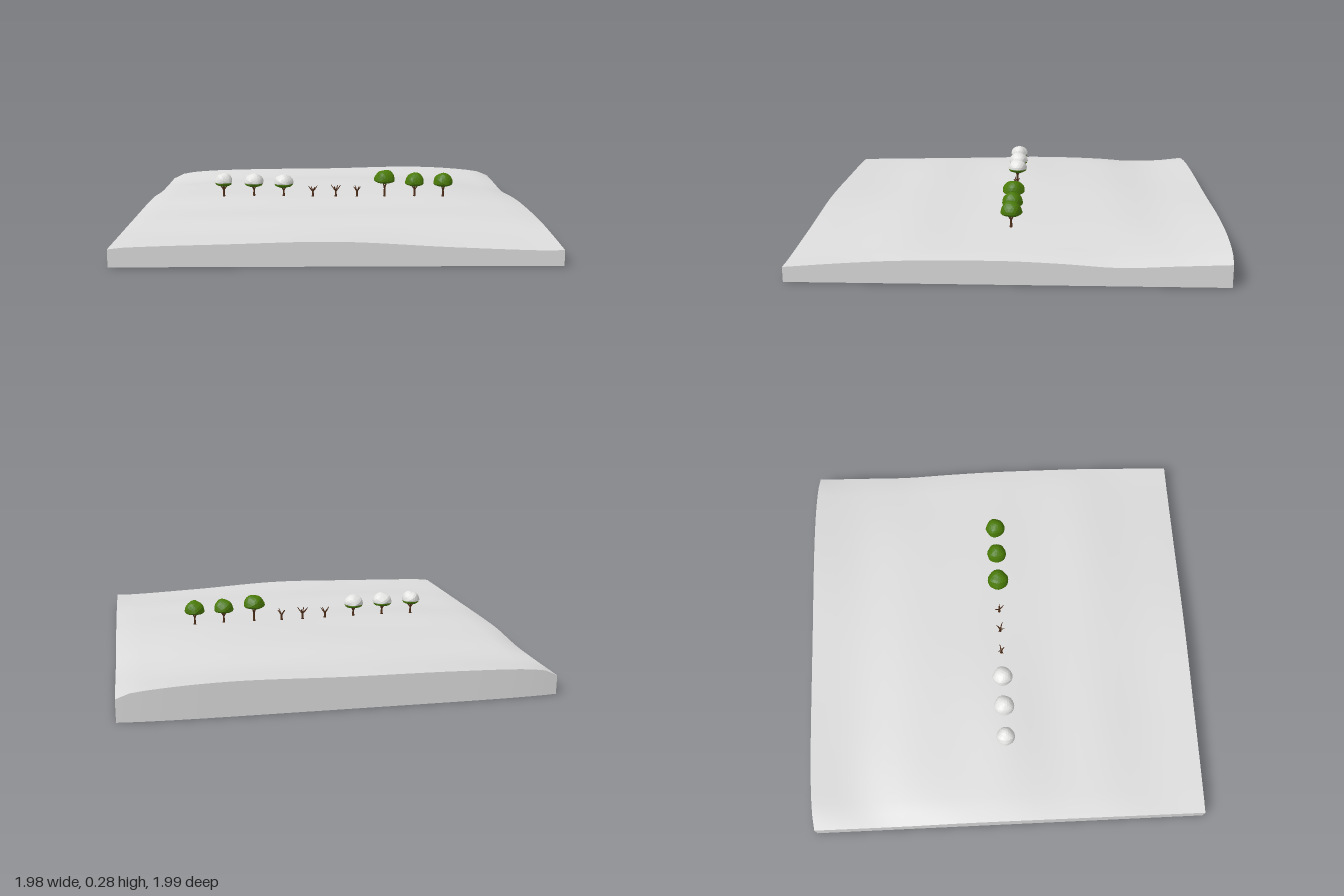
import * as THREE from 'three';

// Ground heights: rows run back to front, columns left to right (closer together at the edges)
const HEIGHTS = [
  [0.09, 0.13, 0.145, 0.15, 0.16, 0.14, 0.105],
  [0.085, 0.10, 0.125, 0.14, 0.135, 0.115, 0.095],
  [0.085, 0.12, 0.14, 0.155, 0.145, 0.11, 0.085],
  [0.10, 0.125, 0.14, 0.15, 0.145, 0.12, 0.10],
  [0.10, 0.125, 0.145, 0.14, 0.14, 0.125, 0.11],
  [0.095, 0.11, 0.12, 0.125, 0.125, 0.12, 0.11],
  [0.09, 0.105, 0.12, 0.125, 0.125, 0.115, 0.105],
  [0.085, 0.09, 0.10, 0.11, 0.10, 0.09, 0.09],
  [0.08, 0.09, 0.10, 0.11, 0.085, 0.07, 0.07],
];

// Smooth interpolation along a list of values, t from 0 to 1
function smooth(list, t) {
  const n = list.length - 1;
  const f = THREE.MathUtils.clamp(t, 0, 1) * n;
  const i = Math.min(Math.floor(f), n - 1);
  const k = f - i;
  const b = list[i], c = list[i + 1];
  const a = i > 0 ? list[i - 1] : 2 * b - c;
  const d = i + 2 <= n ? list[i + 2] : 2 * c - b;
  return b + 0.5 * k * (c - a + k * (2 * a - 5 * b + 4 * c - d + k * (3 * (b - c) + d - a)));
}

function groundHeight(x, z) {
  const u = Math.asin(THREE.MathUtils.clamp(x, -1, 1)) / Math.PI + 0.5;
  return smooth(HEIGHTS.map((row) => smooth(row, u)), (z + 1) / 2);
}

// Solid slab with a rolling upper surface
function createTerrain(material) {
  const geo = new THREE.BoxGeometry(2, 2, 2, 32, 1, 32);
  const p = geo.attributes.position;
  for (let i = 0; i < p.count; i++) {
    const x = p.getX(i), z = p.getZ(i);
    const y = p.getY(i) > 0 ? groundHeight(x, z) : 0;
    const bow = z < 0 ? 0.018 * Math.pow(x, 6) * -z : 0;
    p.setXYZ(i, x * 0.992 - 0.003, y, z * 0.996 - 0.003 + bow);
  }
  geo.computeVertexNormals();
  const mesh = new THREE.Mesh(geo, material);
  mesh.name = 'terrain';
  return mesh;
}

// Tapered limb between two points
function limb(name, from, to, r0, r1, material) {
  const a = new THREE.Vector3(...from), b = new THREE.Vector3(...to);
  const dir = b.clone().sub(a);
  const mesh = new THREE.Mesh(new THREE.CylinderGeometry(r1, r0, dir.length(), 6), material);
  mesh.position.copy(a).add(b).multiplyScalar(0.5);
  mesh.quaternion.setFromUnitVectors(new THREE.Vector3(0, 1, 0), dir.normalize());
  mesh.name = name;
  return mesh;
}

// Trunk with a flared foot, forking into branches
function createTrunk(material, turn, height, reach) {
  const group = new THREE.Group();
  group.name = 'trunk';
  const fork = height * 0.5;
  group.add(limb('foot', [0, -0.01, 0], [0, 0.014, 0], 0.009, 0.0055, material));
  group.add(limb('stem', [0, 0.012, 0], [0, fork, 0], 0.0055, 0.0045, material));
  for (let i = 0; i < 4; i++) {
    const a = turn + i * Math.PI / 2 + 0.25 * Math.sin(i * 3 + turn);
    const r = reach * (i % 2 ? 0.8 : 1);
    const at = (s, y) => [Math.cos(a) * r * s, y, Math.sin(a) * r * s];
    const elbow = at(0.6, height * 0.76);
    group.add(limb('branch', [0, fork - 0.003, 0], elbow, 0.0042, 0.003, material));
    group.add(limb('twig', elbow, at(1, height * (i % 2 ? 0.92 : 1)), 0.003, 0.0012, material));
  }
  return group;
}

// Lumpy dome with a shallow underside
function createCrown(name, radius, up, down, seed, material) {
  const geo = new THREE.IcosahedronGeometry(1, 3);
  const p = geo.attributes.position;
  for (let i = 0; i < p.count; i++) {
    const x = p.getX(i), y = p.getY(i), z = p.getZ(i);
    const lump = 1 + 0.04 * Math.sin(4 * x + seed) * Math.cos(4 * z - seed) + 0.025 * Math.sin(6 * y + 5 * x + seed);
    p.setXYZ(i, x * lump * radius, y * lump * (y > 0 ? up : down), z * lump * radius);
  }
  geo.computeVertexNormals();
  const mesh = new THREE.Mesh(geo, material);
  mesh.name = name;
  return mesh;
}

export function createModel() {
  const ground = new THREE.MeshStandardMaterial({ name: 'ground grey', color: 0xdcdcdc });
  const snow = new THREE.MeshStandardMaterial({ name: 'snow white', color: 0xe4e4e2 });
  const leaves = new THREE.MeshStandardMaterial({ name: 'leaf green', color: 0x4a7a08 });
  const bark = new THREE.MeshStandardMaterial({ name: 'bark brown', color: 0x51301a });

  const model = new THREE.Group();
  model.name = 'treeLandscape';
  model.add(createTerrain(ground));

  // kind, x, crown radius, crown top
  const trees = [
    ['snowy', -0.585, 0.047, 0.266], ['snowy', -0.425, 0.052, 0.263], ['snowy', -0.267, 0.051, 0.259],
    ['bare', -0.112, 0.025, 0.198], ['bare', 0.01, 0.028, 0.203], ['bare', 0.123, 0.025, 0.198],
    ['leafy', 0.27, 0.055, 0.282], ['leafy', 0.43, 0.051, 0.267], ['leafy', 0.582, 0.051, 0.265],
  ];
  trees.forEach(([kind, x, radius, top], i) => {
    const tree = new THREE.Group();
    tree.name = kind + 'Tree';
    const base = groundHeight(x, 0);
    tree.position.set(x, base, 0);
    const height = kind === 'bare' ? top - base : top - base - 0.05;
    tree.add(createTrunk(bark, i * 0.9, height, kind === 'bare' ? radius : 0.026));
    if (kind === 'leafy') {
      const crown = createCrown('crown', radius, 0.055, 0.018, i, leaves);
      crown.position.y = top - base - 0.055;
      tree.add(crown);
    }
    if (kind === 'snowy') {
      const crown = createCrown('crown', radius * 0.93, 0.03, 0.018, i, leaves);
      crown.position.y = top - base - 0.053;
      const cap = createCrown('snowCap', radius, 0.047, 0.01, i, snow);
      cap.position.y = top - base - 0.047;
      tree.add(crown, cap);
    }
    model.add(tree);
  });
  return model;
}
